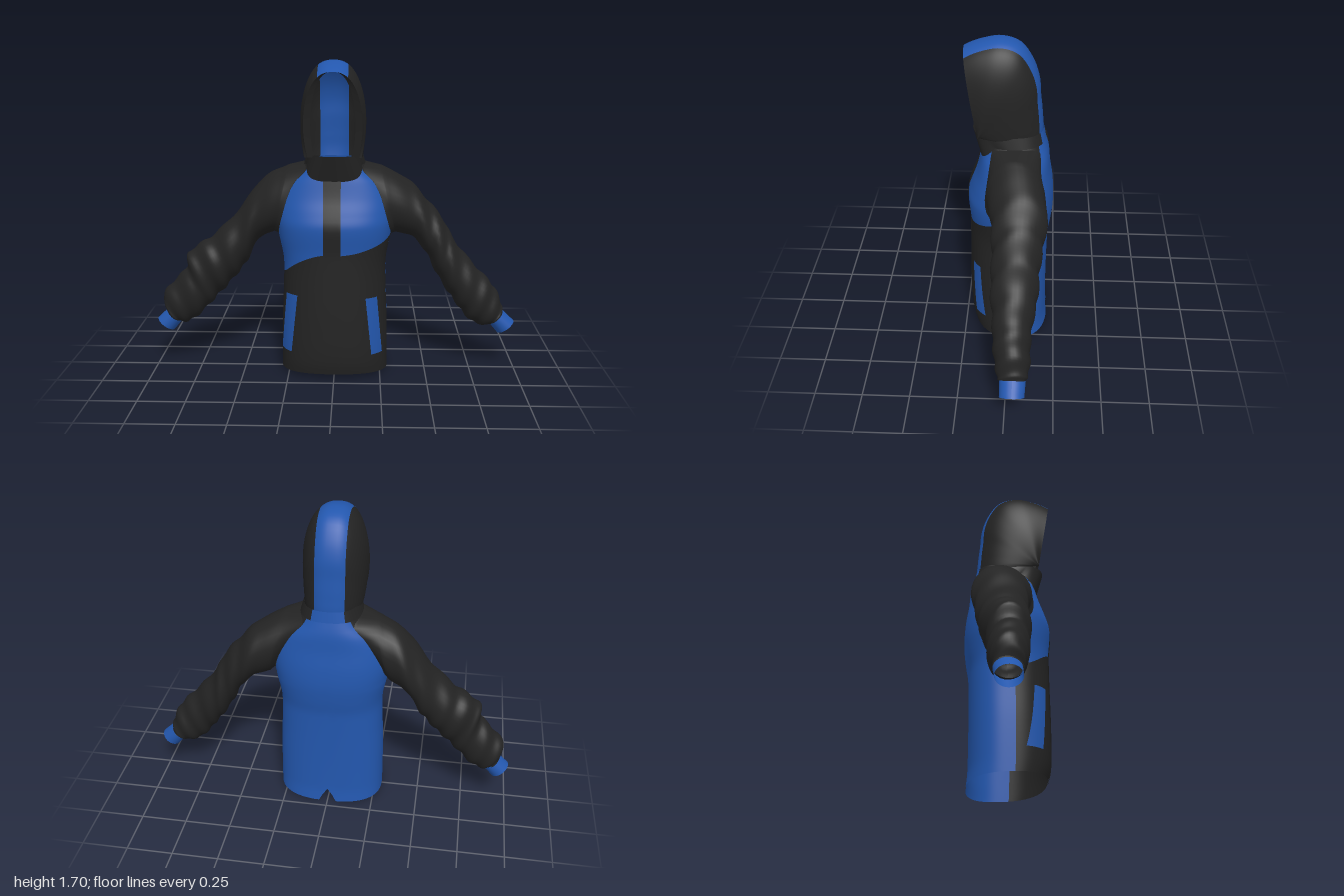
import * as THREE from 'three';

const black = new THREE.MeshStandardMaterial({ color: 0x232323, side: THREE.DoubleSide });
black.name = 'blackFabric';
const blue = new THREE.MeshStandardMaterial({ color: 0x2357ae, side: THREE.DoubleSide });
blue.name = 'blueFabric';

const { lerp, clamp } = THREE.MathUtils;
const RAD = Math.PI / 180;
const POW = 0.8; // superellipse exponent shared by body and hood
const spow = (v, p) => Math.sign(v) * Math.pow(Math.abs(v), p);

// Smooth curve through [key, value] pairs, clamped at both ends
function table(pts) {
  const slope = (i) => {
    const a = pts[Math.max(i - 1, 0)], b = pts[Math.min(i + 1, pts.length - 1)];
    return (b[1] - a[1]) / (b[0] - a[0]);
  };
  return (k) => {
    if (k <= pts[0][0]) return pts[0][1];
    if (k >= pts[pts.length - 1][0]) return pts[pts.length - 1][1];
    let i = 0;
    while (k > pts[i + 1][0]) i++;
    const d = pts[i + 1][0] - pts[i][0], t = (k - pts[i][0]) / d, t2 = t * t, t3 = t2 * t;
    return (2 * t3 - 3 * t2 + 1) * pts[i][1] + (t3 - 2 * t2 + t) * d * slope(i)
      + (3 * t2 - 2 * t3) * pts[i + 1][1] + (t3 - t2) * d * slope(i + 1);
  };
}

// Grid surface from fn(s, t) -> [x, y, z], s and t in 0..1
function surface(name, material, fn, ns, nt) {
  const pos = [], index = [];
  for (let j = 0; j <= nt; j++) for (let i = 0; i <= ns; i++) pos.push(...fn(i / ns, j / nt));
  for (let j = 0; j < nt; j++) for (let i = 0; i < ns; i++) {
    const a = j * (ns + 1) + i, b = a + ns + 1;
    index.push(a, a + 1, b, a + 1, b + 1, b);
  }
  const g = new THREE.BufferGeometry();
  g.setAttribute('position', new THREE.Float32BufferAttribute(pos, 3));
  g.setIndex(index);
  g.computeVertexNormals();
  const mesh = new THREE.Mesh(g, material);
  mesh.name = name;
  return mesh;
}

// Body: half width, front depth and back depth by height
const width = table([[0, .292], [.3, .288], [.5, .28], [.65, .278], [.8, .305], [.9, .312], [1, .295], [1.08, .25], [1.13, .19], [1.17, .16]]);
const front = table([[0, .19], [.1, .215], [.3, .22], [.7, .215], [.85, .225], [.92, .205], [1, .175], [1.1, .15], [1.17, .135]]);
const back = table([[0, .21], [.1, .2], [.6, .205], [.7, .22], [.8, .23], [.9, .225], [1, .21], [1.1, .2], [1.17, .18]]);
const ZMID = -.01, NECK = 1.17, ARMPIT = .78;

// Angle 0 is the front centre, 90 the model's left side, 180 the back
function body(deg, y, off = 0) {
  const s = Math.sin(deg * RAD), c = Math.cos(deg * RAD);
  const depth = (c > 0 ? front(y) - ZMID : back(y) + ZMID) + off;
  return [(width(y) + off) * spow(s, POW), y, ZMID + depth * spow(c, POW)];
}
const angleAt = (x, y) => Math.asin(clamp(spow(x / width(y), 1 / POW), -1, 1)) / RAD;

// Seam angles: side seam below the armpit, raglan seam above it
const frontSeam = table([[ARMPIT, 84], [.83, 70], [.9, 59], [1, 53], [NECK, 52]]);
const backSeam = table([[ARMPIT, 96], [.83, 72], [.9, 60], [1, 48], [1.1, 42], [NECK, 40]]);
const neckline = (a) => Math.min(NECK, 1.09 + .08 * (a / 60) ** 2);
const hem = (a) => .025 + .015 * Math.cos(a * RAD);
const yokeLeft = table([[0, .705], [20, .72], [84, .80]]);
const yokeRight = table([[0, .71], [12, .705], [35, .665], [65, .6], [84, .575]]);

function addBody(g) {
  for (const m of [1, -1]) {
    const side = m > 0 ? 'left' : 'right';
    const yoke = m > 0 ? yokeLeft : yokeRight;
    g.add(surface(side + 'FrontPanel', black, (s, t) => {
      const a = s * 84;
      return body(m * a, lerp(hem(a), yoke(a), t));
    }, 24, 24));
    g.add(surface(side + 'Yoke', blue, (s, t) => {
      const y = lerp(yoke(s * 84), neckline(s * 52), t);
      return body(m * s * frontSeam(y), y);
    }, 24, 30));
  }
  // Back panel with a small notch at the hem centre
  g.add(surface('backPanel', blue, (s, t) => {
    const k = (s - .5) * 2;
    const low = hem(180 - k * 96) + .08 * Math.max(0, 1 - Math.abs(k) * 96 / 6.1);
    const y = lerp(low, NECK, t);
    return body(180 + k * backSeam(y), y);
  }, 64, 48));
  // Inner layer behind the shoulder seams
  g.add(surface('shoulderLining', black, (s, t) => body(s * 360, lerp(.74, NECK, t), -.008), 48, 16));
  // Front closing strip
  g.add(surface('placket', black, (s, t) => {
    const y = lerp(.045, 1.1, t);
    return body(angleAt(lerp(-.055, .035, s), y), y, .004);
  }, 6, 40));
  // Slanted pocket strips: outer and inner edge at top and bottom
  const pockets = [['leftPocket', .165, .225, .47, .198, .255, .15], ['rightPocket', -.25, -.19, .48, -.28, -.225, .155]];
  for (const [name, xa, xb, yTop, xc, xd, yLow] of pockets) {
    g.add(surface(name, blue, (s, t) => {
      const y = lerp(yLow, yTop, t);
      return body(angleAt(lerp(lerp(xc, xa, t), lerp(xd, xb, t), s), y), y, .006);
    }, 5, 12));
  }
}

// Sleeve sections: upper x, y; lower x, y
const leftArm = [[.25, 1.15, .33, .785], [.40, 1.065, .42, .755], [.50, .96, .50, .665], [.59, .85, .55, .565], [.65, .74, .61, .465],
  [.745, .62, .66, .395], [.83, .53, .71, .325], [.89, .455, .765, .27], [.925, .37, .83, .25], [.935, .33, .86, .26]];
const rightArm = [[.25, 1.15, .33, .785], [.39, 1.075, .42, .735], [.51, .92, .48, .62], [.64, .78, .53, .55], [.73, .715, .59, .48],
  [.81, .655, .65, .415], [.825, .57, .71, .35], [.90, .49, .78, .28], [.96, .41, .84, .25], [.945, .33, .875, .26]];
const armDepth = [[.115, -.185], [.085, -.2], [.075, -.18], [.075, -.165], [.075, -.16], [.065, -.14], [.06, -.13], [.05, -.13], [.035, -.12], [.025, -.11]];

function addSleeve(g, m, rows) {
  const side = m > 0 ? 'left' : 'right';
  const col = (src, c) => table(src.map((r, i) => [i + 1, r[c]]));
  const [tx, ty, bx, by] = [0, 1, 2, 3].map((c) => col(rows, c));
  const [zf, zb] = [0, 1].map((c) => col(armDepth, c));
  const ring = (T, B, f, b, th, k = 1) => {
    const c = Math.cos(th) * k / 2, s = Math.sin(th) * k / 2;
    return [m * ((T[0] + B[0]) / 2 + (T[0] - B[0]) * c), (T[1] + B[1]) / 2 + (T[1] - B[1]) * c, (f + b) / 2 + (f - b) * s];
  };
  // Armhole loop following the raglan seams on the body
  const armhole = (th) => {
    const s = Math.sin(th), y = ARMPIT + (NECK - ARMPIT) * (Math.cos(th) + 1) / 2;
    const edge = s > 0 ? frontSeam(y) : 180 - backSeam(y);
    const p = body(lerp(90, edge, Math.min(1, 2.2 * Math.abs(s))), y, .002);
    return [m * p[0], p[1], p[2]];
  };
  g.add(surface(side + 'Sleeve', black, (s, t) => {
    const th = Math.PI + s * Math.PI * 2, u = t * 10;
    // Cloth folds fade in below the shoulder
    const fold = .045 * clamp((u - 1) / 2, 0, 1) * Math.sin(u * 5.3 + 1.7 * Math.cos(th + m) + m);
    const p = ring([tx(u), ty(u)], [bx(u), by(u)], zf(u), zb(u), th, 1 + fold);
    if (u >= 1) return p;
    return armhole(th).map((v, i) => lerp(v, p[i], u));
  }, 32, 80));
  g.add(surface(side + 'Cuff', blue, (s, t) => ring(
    [lerp(.935, .997, t), lerp(.33, .272, t)], [lerp(.86, .907, t), lerp(.26, .204, t)],
    .02, lerp(-.11, -.105, t), s * Math.PI * 2), 28, 4));
}

// Hood: sections fanned around a pivot at the chin; reach and half width by fan angle
const reach = table([[-9, .445], [4, .48], [14, .506], [25, .508], [36, .469], [48, .418], [60.6, .367], [76, .34], [90, .335], [97, .335]]);
const hoodWidth = table([[-9, .165], [15, .185], [50, .18], [90, .17], [97, .166]]);
function hood(phi, psi, kx = 1, dz = 0) {
  const q = Math.pow(Math.max(0, Math.cos(psi * RAD)), POW);
  const x = kx * hoodWidth(phi) * spow(Math.sin(psi * RAD), POW) * (1 - .2 * (1 - q) ** 3);
  const r = reach(phi) * q;
  return [x - .005, 1.22 + r * Math.cos(phi * RAD), .165 - r * Math.sin(phi * RAD) + dz];
}
const stripAngle = (phi) => Math.asin(Math.pow(.078 / hoodWidth(phi), 1 / POW)) / RAD;

function addHood(g) {
  const fan = (t) => lerp(-9, 97, t);
  g.add(surface('hoodStrip', blue, (s, t) => hood(fan(t), lerp(-1, 1, s) * stripAngle(fan(t))), 12, 40));
  for (const m of [1, -1]) {
    g.add(surface(m > 0 ? 'leftHoodSide' : 'rightHoodSide', black,
      (s, t) => hood(fan(t), m * lerp(stripAngle(fan(t)), 90, s)), 24, 40));
  }
  // Turned-in edge around the face opening
  g.add(surface('hoodRim', black, (s, t) => hood(-9, lerp(-90, 90, s), lerp(1, .76, t), -.015 * t), 48, 4));
  // Collar between the neckline and the hood
  const collar = (a, t) => {
    const k = a > 180 ? 360 - a : a;
    const p = body(a, neckline(k), .003), s = Math.sin(a * RAD), c = Math.cos(a * RAD);
    const top = [.147 * spow(s, POW), 1.228, .01 + (c > 0 ? .185 : .182) * spow(c, POW)];
    return p.map((v, i) => lerp(v, top[i], t));
  };
  g.add(surface('collar', black, (s, t) => collar((lerp(-152, 152, s) + 360) % 360, t), 56, 6));
  g.add(surface('collarStrip', blue, (s, t) => collar(lerp(152, 208, s), t), 12, 6));
}

export function createModel() {
  const group = new THREE.Group();
  group.name = 'hoodedJacket';
  addBody(group);
  addSleeve(group, 1, leftArm);
  addSleeve(group, -1, rightArm);
  addHood(group);
  return group;
}
